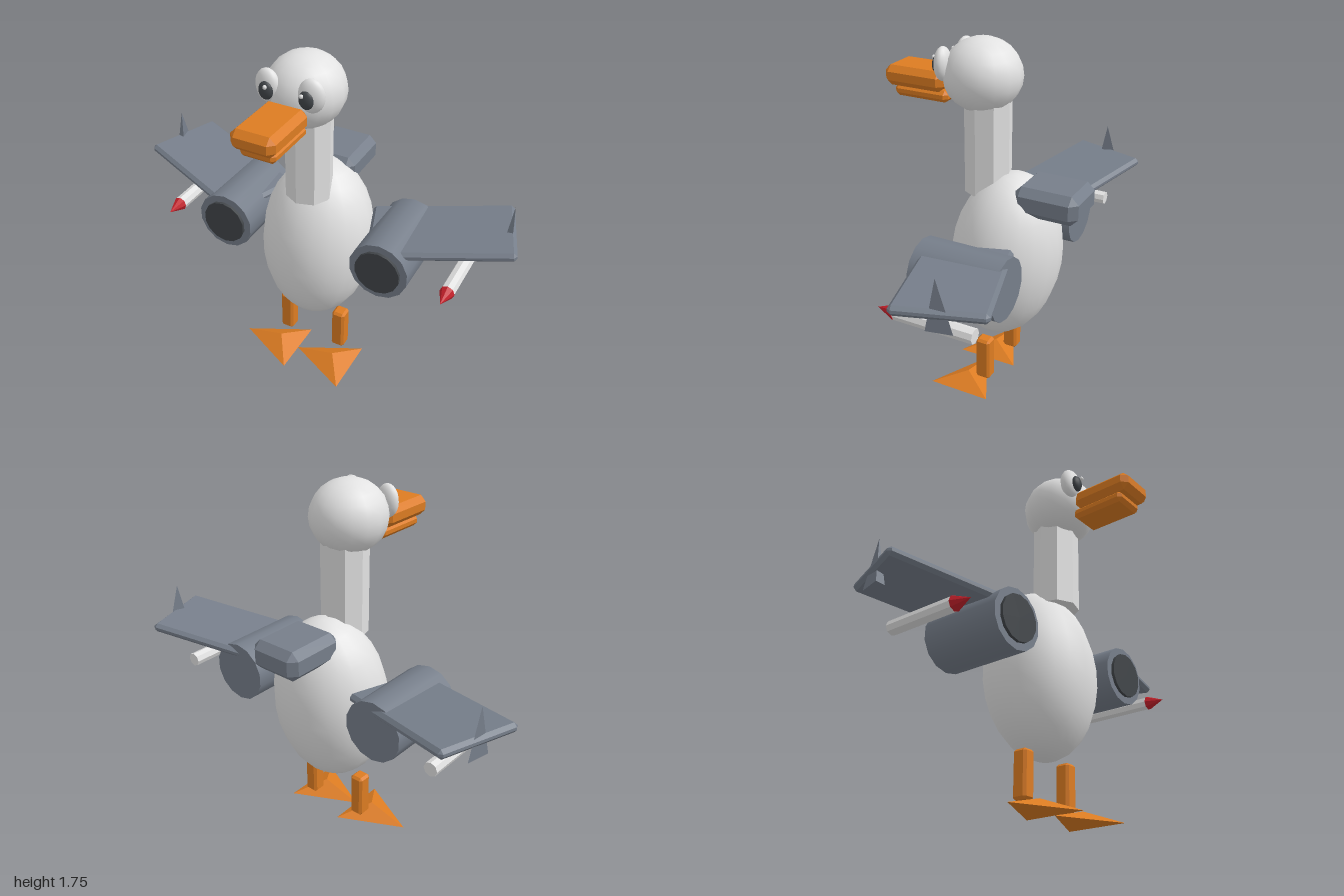
import * as THREE from 'three';
import { ConvexGeometry } from 'three/addons/geometries/ConvexGeometry.js';

const mat = (name, color) => {
  const m = new THREE.MeshStandardMaterial({ color });
  m.name = name;
  return m;
};

// Box with every edge and corner cut off at 45 degrees
function chamferBox(w, h, d, c) {
  const pts = [];
  for (const x of [-1, 1]) for (const y of [-1, 1]) for (const z of [-1, 1]) {
    const X = w / 2, Y = h / 2, Z = d / 2;
    pts.push(
      new THREE.Vector3(x * X, y * (Y - c), z * (Z - c)),
      new THREE.Vector3(x * (X - c), y * Y, z * (Z - c)),
      new THREE.Vector3(x * (X - c), y * (Y - c), z * Z));
  }
  return new ConvexGeometry(pts);
}

// Faceted copy of a geometry
function flat(geo) {
  const g = geo.toNonIndexed();
  g.computeVertexNormals();
  return g;
}

export function createModel() {
  const white = mat('white', 0xe2e2e2);
  const orange = mat('orange', 0xdc7c22);
  const grey = mat('steel grey', 0x767e8a);
  const dark = mat('charcoal', 0x414549);
  const red = mat('red', 0xc4202a);

  const model = new THREE.Group();
  model.name = 'jetBird';
  const add = (name, geo, material, x, y, z) => {
    const m = new THREE.Mesh(geo, material);
    m.name = name;
    m.position.set(x, y, z);
    model.add(m);
    return m;
  };
  const ball = (name, material, p, r, ws = 16, hs = 12) => {
    const m = add(name, new THREE.SphereGeometry(1, ws, hs), material, ...p);
    m.scale.set(...r);
    return m;
  };

  // Body, neck and head
  ball('body', white, [0, 0.7, -0.1], [0.283, 0.432, 0.268], 20, 14).rotation.x = -0.12;
  add('neck', flat(new THREE.CylinderGeometry(0.112, 0.112, 0.46, 8)), white, 0, 1.25, 0)
    .rotation.y = -0.09;
  ball('head', white, [0, 1.575, 0.028], [0.181, 0.17, 0.185]);

  // Beak
  add('upperBeak', chamferBox(0.21, 0.095, 0.31, 0.028), orange, 0, 1.533, 0.34);
  add('lowerBeak', chamferBox(0.17, 0.055, 0.28, 0.018), orange, 0, 1.465, 0.31);

  // Back pack
  add('backPack', chamferBox(0.262, 0.142, 0.315, 0.036), grey, 0, 1.047, -0.338);

  for (const [side, s] of [['left', 1], ['right', -1]]) {
    // Eyes
    ball(side + 'Eye', white, [s * 0.104, 1.63, 0.172], [0.06, 0.077, 0.037]).rotation.y = s * 0.15;
    ball(side + 'Pupil', dark, [s * 0.095, 1.622, 0.203], [0.034, 0.042, 0.022]);
    ball(side + 'EyeGlint', white, [s * 0.085, 1.648, 0.228], [0.01, 0.01, 0.009], 8, 6);

    // Legs and three-cornered feet
    add(side + 'Leg', chamferBox(0.07, 0.227, 0.075, 0.012), orange, s * 0.152, 0.173, -0.062);
    const footGeo = new THREE.ConeGeometry(0.207, 0.055, 3);
    footGeo.rotateY(-Math.PI / 2);
    footGeo.scale(1, 1, 0.87);
    add(side + 'Foot', flat(footGeo), orange, s * 0.155, 0.0275, 0.033);

    // Swept, raised wing
    const wing = add(side + 'Wing', chamferBox(0.675, 0.045, 0.4, 0.016), grey, s * 0.61, 0.89, -0.167);
    wing.rotation.order = 'YXZ';
    wing.rotation.set(0, s * 0.325, s * 0.122);

    // Fin through the wing tip
    const finGeo = new THREE.ConeGeometry(0.075, 0.23, 3);
    finGeo.rotateY(Math.PI);
    finGeo.scale(0.37, 1, 1);
    add(side + 'Fin', flat(finGeo), grey, s * 0.908, 0.965, -0.255);

    // Jet engine with dark intake
    const engineGeo = new THREE.CylinderGeometry(0.147, 0.147, 0.42, 14);
    engineGeo.rotateX(Math.PI / 2);
    add(side + 'Engine', engineGeo, grey, s * 0.415, 0.777, -0.1);
    const intakeGeo = new THREE.CylinderGeometry(0.112, 0.112, 0.06, 14);
    intakeGeo.rotateX(Math.PI / 2);
    add(side + 'Intake', intakeGeo, dark, s * 0.415, 0.777, 0.095);

    // Rocket slung under the wing
    const rocketGeo = new THREE.CylinderGeometry(0.034, 0.034, 0.38, 8);
    rocketGeo.rotateX(Math.PI / 2);
    add(side + 'Rocket', flat(rocketGeo), white, s * 0.735, 0.739, -0.138);
    const tipGeo = new THREE.ConeGeometry(0.036, 0.09, 8);
    tipGeo.rotateX(Math.PI / 2);
    add(side + 'RocketTip', flat(tipGeo), red, s * 0.735, 0.739, 0.096);
  }
  return model;
}
